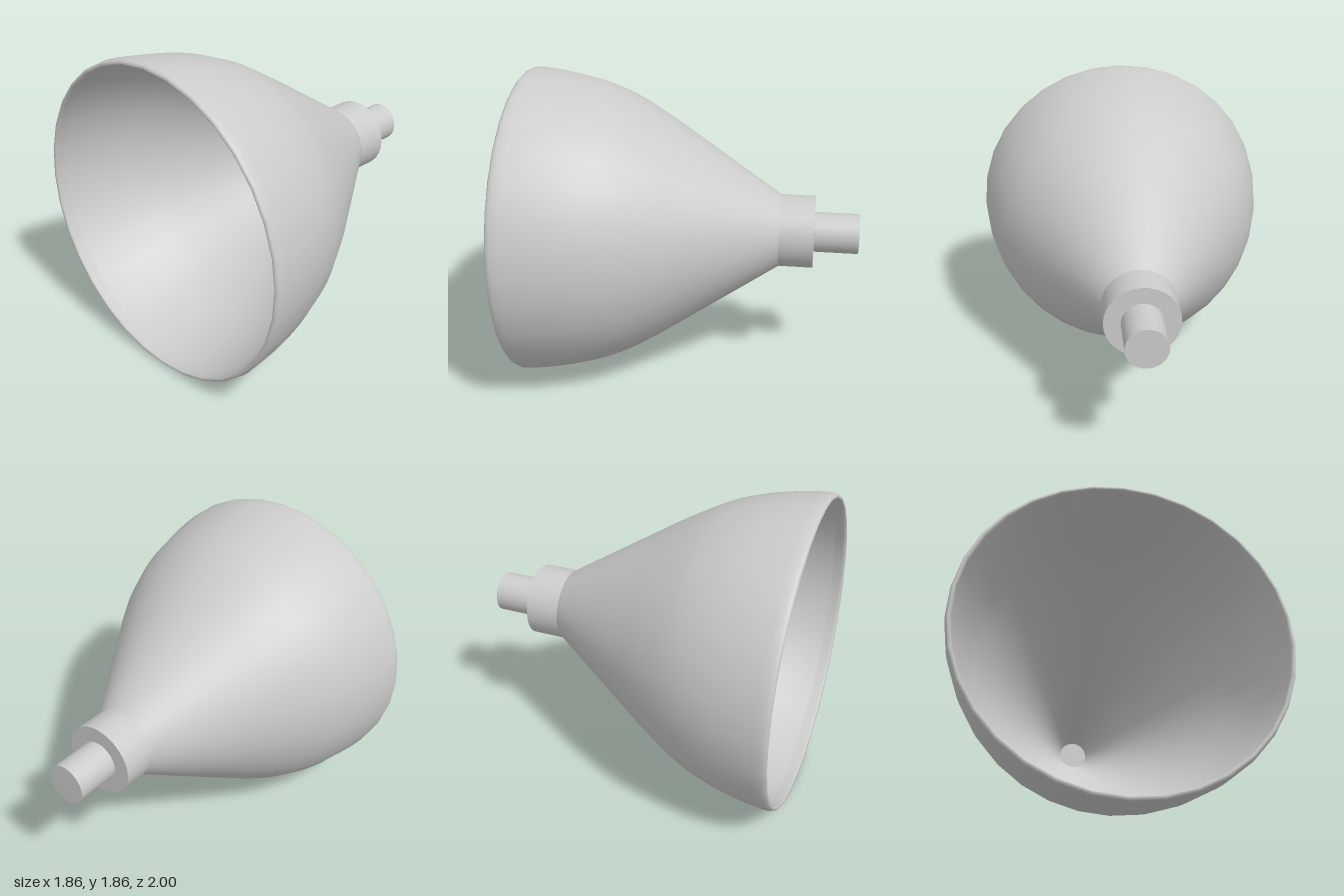
import * as THREE from 'three';

const SEGMENTS = 32;
const AXIS_Y = 0.935; // height of the lamp axis, which runs along z

export function createModel() {
  const model = new THREE.Group();
  const material = new THREE.MeshStandardMaterial({ color: 0xcccccc });
  const thin = new THREE.MeshStandardMaterial({ color: 0xcccccc, side: THREE.DoubleSide });

  const add = (name, geometry, mat = material) => {
    const mesh = new THREE.Mesh(geometry, mat);
    mesh.name = name;
    mesh.position.y = AXIS_Y;
    model.add(mesh);
    return mesh;
  };

  // Turned parts are made around y, then laid along z
  const tube = (radius, back, front, open) =>
    new THREE.CylinderGeometry(radius, radius, front - back, SEGMENTS, 1, open)
      .rotateX(Math.PI / 2)
      .translate(0, 0, (front + back) / 2);

  // Bell-shaped shade: [radius, z] from the neck along the outside to the rim
  const outer = new THREE.SplineCurve([
    [0.085, -0.73], [0.217, -0.53], [0.39, -0.265], [0.562, 0], [0.69, 0.2],
    [0.8, 0.4], [0.872, 0.6], [0.915, 0.8], [0.932, 0.94],
  ].map(([r, z]) => new THREE.Vector2(r, z))).getPoints(32);

  // Rounded lip at the open end
  const lip = [
    [0.932, 0.97], [0.928, 0.99], [0.917, 1], [0.906, 0.995], [0.902, 0.98],
  ].map(([r, z]) => new THREE.Vector2(r, z));

  // Inside wall follows the outside, slightly narrower, back to the neck
  const inner = outer.slice().reverse().map((p) =>
    new THREE.Vector2(p.x - 0.025 * THREE.MathUtils.smoothstep(p.x, 0.08, 0.3), p.y));

  add('shade', new THREE.LatheGeometry([...outer, ...lip, ...inner], SEGMENTS).rotateX(Math.PI / 2));

  // Collar around the neck, closed at the back by a plate
  add('collar', tube(0.217, -0.735, -0.525, true), thin);
  add('collarBack', new THREE.CircleGeometry(0.217, SEGMENTS).translate(0, 0, -0.735), thin);

  // Stem behind the collar
  add('stem', tube(0.12, -1, -0.736, false));

  return model;
}
